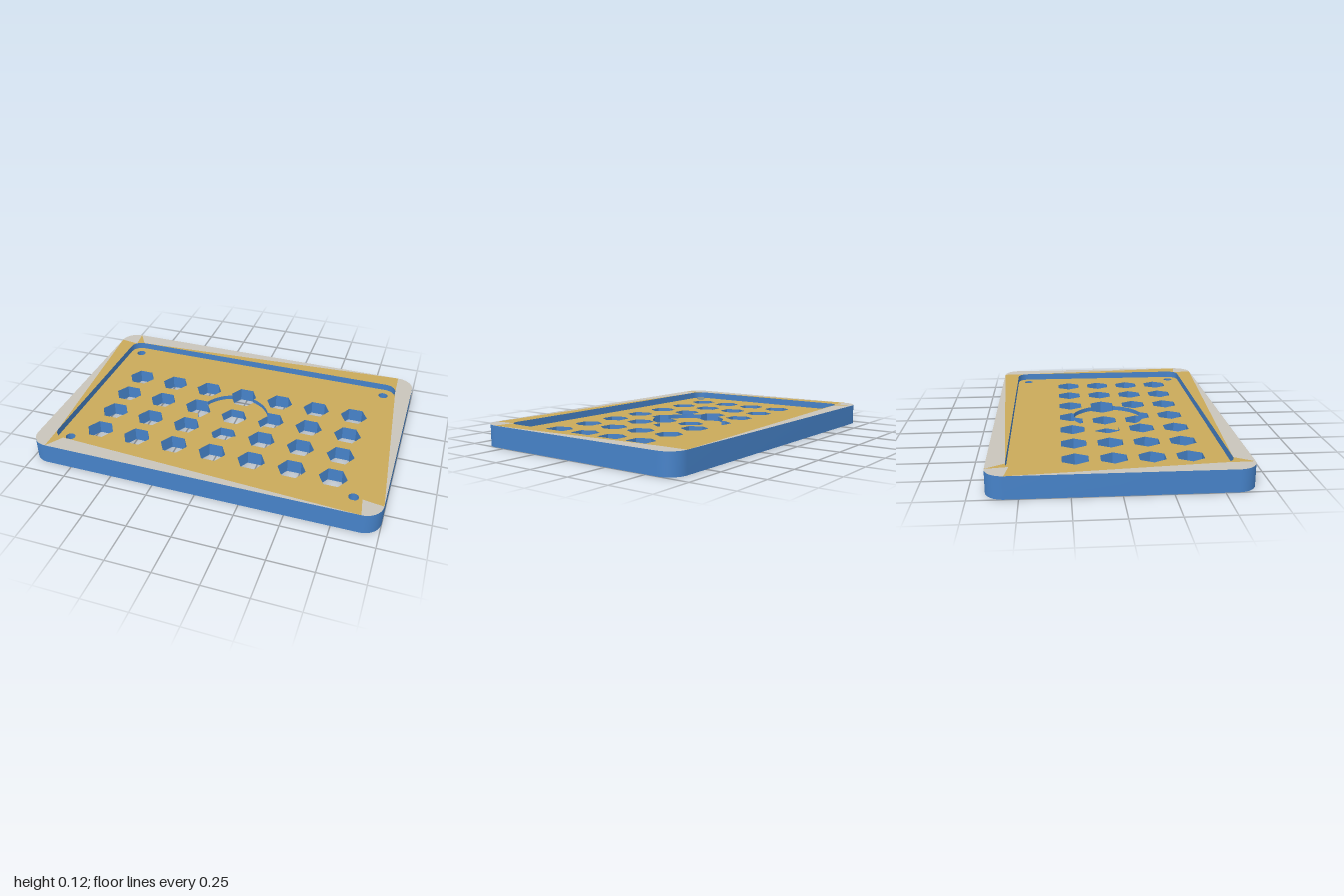
import * as THREE from 'three';
import { toCreasedNormals } from 'three/addons/utils/BufferGeometryUtils.js';

const makeMat = (name, color) => {
  const m = new THREE.MeshStandardMaterial({ color });
  m.name = name;
  return m;
};

// Plan points are [x, z]; loops run counter-clockwise as seen from above.
function arc(cx, cz, r, a0, a1, n) {
  const pts = [];
  for (let i = 0; i <= n; i++) {
    const a = a0 + ((a1 - a0) * i) / n;
    pts.push([cx + r * Math.cos(a), cz - r * Math.sin(a)]);
  }
  return pts;
}
const circle = (x, z, r, n) => arc(x, z, r, 0, Math.PI * 2, n).slice(0, n);

// Four corner arcs, starting at back right and going counter-clockwise.
function cornerArcs(hx, hz, r, n) {
  return [[1, -1], [-1, -1], [-1, 1], [1, 1]].map(([sx, sz], i) =>
    arc(sx * (hx - r), sz * (hz - r), r, (i * Math.PI) / 2, ((i + 1) * Math.PI) / 2, n));
}

function toShape(loop, holes) {
  const v = (l) => l.map(([x, z]) => new THREE.Vector2(x, -z));
  const s = new THREE.Shape(v(loop));
  s.holes = holes.map((h) => new THREE.Path(v(h)));
  return s;
}

function plate(loop, holes, y, down) {
  const g = new THREE.ShapeGeometry(toShape(loop, holes));
  g.rotateX(-Math.PI / 2).translate(0, y, 0);
  if (down) {
    g.index.array.reverse();
    g.computeVertexNormals();
  }
  return g;
}

// Vertical wall along a loop; inward walls face the middle of the loop.
function wall(loop, y0, y1, inward) {
  const pos = [];
  loop.forEach((p, i) => {
    let a = p, b = loop[(i + 1) % loop.length];
    if (inward) [a, b] = [b, a];
    pos.push(a[0], y0, a[1], b[0], y0, b[1], b[0], y1, b[1]);
    pos.push(a[0], y0, a[1], b[0], y1, b[1], a[0], y1, a[1]);
  });
  const g = new THREE.BufferGeometry();
  g.setAttribute('position', new THREE.Float32BufferAttribute(pos, 3));
  return toCreasedNormals(g, 0.6);
}

function triangles(list, y) {
  const pos = [];
  for (const [a, b, c] of list) {
    const up = (b[1] - a[1]) * (c[0] - a[0]) - (b[0] - a[0]) * (c[1] - a[1]) > 0;
    for (const p of up ? [a, b, c] : [a, c, b]) pos.push(p[0], y, p[1]);
  }
  const g = new THREE.BufferGeometry();
  g.setAttribute('position', new THREE.Float32BufferAttribute(pos, 3));
  g.computeVertexNormals();
  return g;
}

export function createModel() {
  const blue = makeMat('blue walls', 0x4682c8);
  const gold = makeMat('gold floor', 0xc9a95a);
  const grey = makeMat('warm grey', 0xc8c4ba);
  const group = new THREE.Group();
  group.name = 'ventedTray';
  const add = (name, geometry, material) => {
    const m = new THREE.Mesh(geometry, material);
    m.name = name;
    group.add(m);
  };

  const TOP = 0.12, FLOOR = 0.08, DISC = 0.055, R = 0.213, N = 12;
  const outerArcs = cornerArcs(1, 0.667, 0.1, N);
  const innerArcs = cornerArcs(0.904, 0.569, 0.067, N);
  const outer = outerArcs.flat(), inner = innerArcs.flat();

  // Hexagonal vents, sorted by how they meet the round recess
  const plain = [], crossing = [], central = [];
  for (let col = -3; col <= 3; col++) {
    for (let row = 0; row < 4; row++) {
      const hex = circle(col * 0.233, -0.22 + row * 0.2, 0.08, 6);
      const inside = hex.filter(([x, z]) => Math.hypot(x, z) < R + 0.002).length;
      (inside === 6 ? central : inside ? crossing : plain).push(hex);
    }
  }
  const screws = [];
  for (const x of [-0.833, 0.833]) for (const z of [-0.5, 0.5]) screws.push(circle(x, z, 0.028, 24));

  // Outline of the round recess joined with the four vents that cross it
  const h = 0.0693;
  const xa = Math.sqrt(R * R - (h - 0.02) ** 2), xb = Math.sqrt(R * R - (h + 0.02) ** 2);
  const right = [[xa, h - 0.02], [0.273, h - 0.02], [0.313, -0.02], [0.273, -h - 0.02], [xb, -h - 0.02]];
  const mirror = (pts) => pts.map(([x, z]) => [-x, z]).reverse();
  const backHalf = [[0.07, -0.201], [0.08, -0.22], [0.04, -0.22 - h]];
  const frontHalf = [[0.04, 0.18 + h], [0.067, 0.2025]];
  const notches = [right, [...backHalf, ...mirror(backHalf)], mirror(right), [...mirror(frontHalf), ...frontHalf]];
  const recess = [];
  const angle = ([x, z]) => Math.atan2(-z, x);
  notches.forEach((notch, i) => {
    const next = notches[(i + 1) % 4];
    const a0 = angle(notch[notch.length - 1]);
    let a1 = angle(next[0]);
    if (a1 < a0) a1 += Math.PI * 2;
    recess.push(...notch, ...arc(0, 0, R, a0, a1, 12).slice(1, -1));
  });

  // Horizontal faces
  add('underside', plate(outer, [...plain, ...crossing, ...central, ...screws], 0, true), grey);
  add('trayFloor', plate(inner, [...plain, ...screws, recess], FLOOR), gold);
  // The round floor is the recess outline minus the vents, which cut its edge
  const bites = crossing.map((hex) => hex.filter(([x, z]) => Math.hypot(x, z) < R + 0.002));
  const disc = [];
  notches.forEach((notch, i) => {
    const start = notch[0], end = notch[notch.length - 1];
    const bite = bites.find((b) => {
      const c = b.reduce((s, p) => [s[0] + p[0], s[1] + p[1]], [0, 0]);
      return i % 2 ? Math.abs(c[1]) > Math.abs(c[0]) && c[1] * start[1] > 0
        : Math.abs(c[0]) > Math.abs(c[1]) && c[0] * start[0] > 0;
    });
    const turn = (p) => Math.atan2(-p[1] * start[0] + p[0] * start[1], p[0] * start[0] + p[1] * start[1]);
    const sorted = [...bite].sort((p, q) => turn(p) - turn(q));
    const a0 = angle(end);
    let a1 = angle(notches[(i + 1) % 4][0]);
    if (a1 < a0) a1 += Math.PI * 2;
    disc.push(start, ...sorted, end, ...arc(0, 0, R, a0, a1, 12).slice(1, -1));
  });
  add('roundRecessFloor', plate(disc, central, DISC), gold);

  // Walls
  add('outerWall', wall(outer, 0, TOP), blue);
  add('rimInnerWall', wall(inner, FLOOR, TOP, true), blue);
  add('roundRecessWall', wall(recess, DISC, FLOOR, true), blue);
  plain.forEach((l) => add('ventWall', wall(l, 0, FLOOR, true), blue));
  [...crossing, ...central].forEach((l) => add('innerVentWall', wall(l, 0, DISC, true), blue));
  screws.forEach((l) => add('screwHoleWall', wall(l, 0, FLOOR, true), blue));

  // Rim in two colours: long tapering slivers and fanned corners
  const greyTris = [], goldTris = [];
  for (let i = 0; i < 4; i++) {
    const o = outerArcs[i], n = innerArcs[i];
    const oNext = outerArcs[(i + 1) % 4][0], nNext = innerArcs[(i + 1) % 4][0];
    const oEnd = o[N], nEnd = n[N];
    // Back and left sides split one way, front and right the other
    if (i === 0 || i === 3) {
      greyTris.push([oEnd, oNext, i === 0 ? nNext : nEnd]);
      goldTris.push(i === 0 ? [oEnd, nEnd, nNext] : [nEnd, nNext, oNext]);
      if (i === 3) {
        greyTris.pop(); goldTris.pop();
        greyTris.push([oEnd, oNext, nNext]);
        goldTris.push([oEnd, nEnd, nNext]);
      }
    } else if (i === 1) {
      greyTris.push([oEnd, oNext, nNext]);
      goldTris.push([oEnd, nEnd, nNext]);
    } else {
      greyTris.push([oEnd, oNext, nEnd]);
      goldTris.push([nEnd, nNext, oNext]);
    }
    // Corner: pivot is the inner point that the outer arc fans to
    const pivot = [0, N / 2, N, N / 2][i === 2 ? 0 : i];
    const k = i === 0 ? 0 : i === 2 ? 0 : pivot;
    for (let j = 0; j < N; j++) {
      greyTris.push([o[j], o[j + 1], n[k]]);
      goldTris.push([n[j], n[j + 1], j < k ? o[0] : o[N]]);
    }
  }
  add('rimGreyFaces', triangles(greyTris, TOP), grey);
  add('rimGoldFaces', triangles(goldTris, TOP), gold);
  return group;
}
